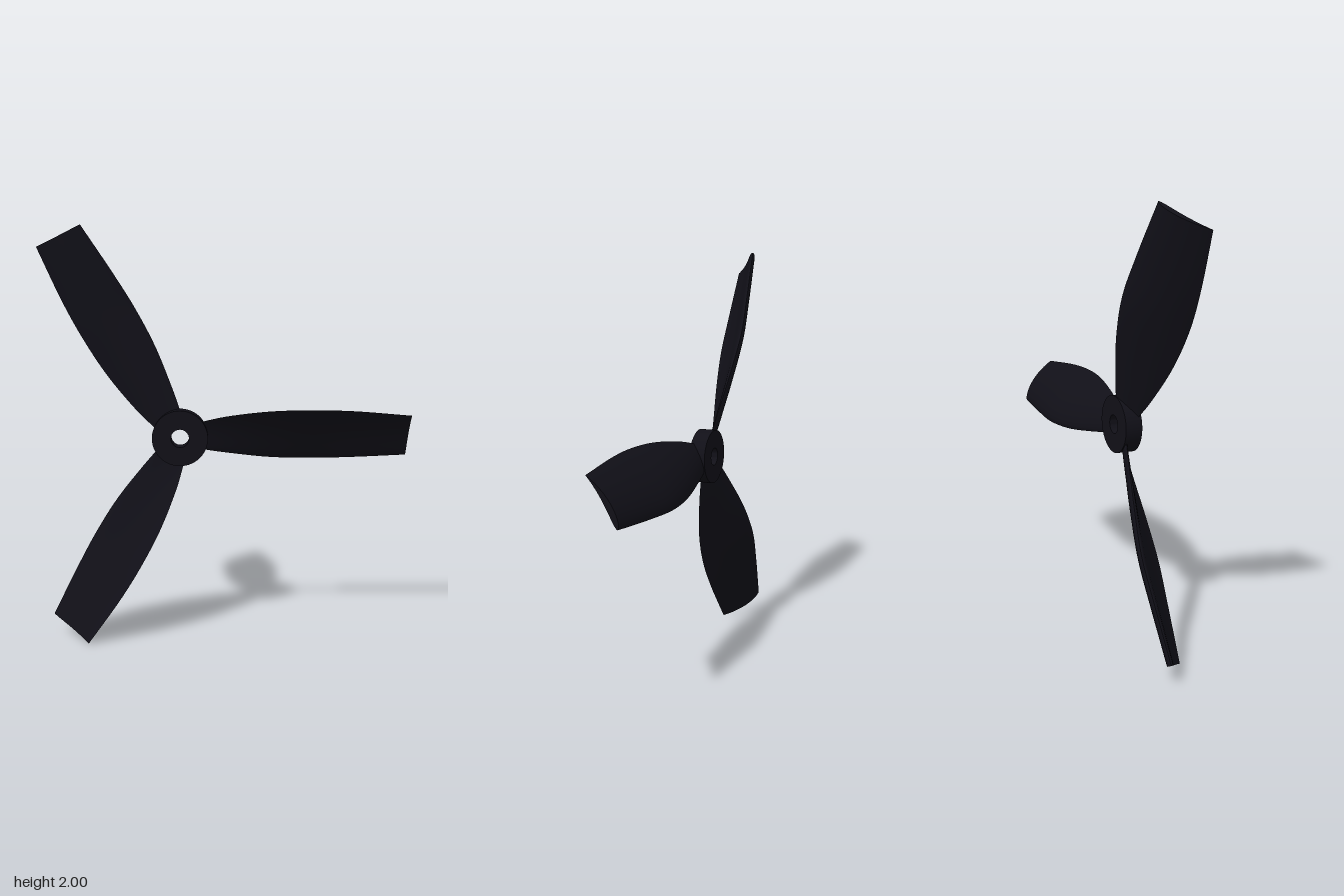
import * as THREE from 'three';
import { toCreasedNormals } from 'three/addons/utils/BufferGeometryUtils.js';

const HUB_X = -0.23;

// Blade edges as (distance from hub axis, y, z)
const spline = (pts) => new THREE.CatmullRomCurve3(pts.map((p) => new THREE.Vector3(...p)), false, 'catmullrom');
const trailingEdge = spline([
  [0.09, 0.075, 0.024], [0.23, 0.108, 0.05], [0.43, 0.135, 0.083],
  [0.63, 0.142, 0.1], [0.83, 0.136, 0.095], [1.095, 0.112, 0.078],
]);
const leadingEdge = spline([
  [0.09, -0.06, -0.024], [0.23, -0.085, -0.05], [0.43, -0.112, -0.083],
  [0.63, -0.12, -0.1], [0.83, -0.115, -0.088], [1.095, -0.1, -0.065],
]);

// Cambered airfoil offset at s (0 = leading edge, 1 = trailing edge)
function airfoil(s, side) {
  const thickness = 0.6 * (0.2969 * Math.sqrt(s) - 0.126 * s - 0.3516 * s ** 2 + 0.2843 * s ** 3 - 0.1036 * s ** 4);
  return 0.28 * s * (1 - s) + side * thickness;
}

// Twisted blade lofted through airfoil sections along +x
function bladeGeometry(sections = 40, half = 14) {
  const ring = half * 2, pos = [], index = [];
  for (let j = 0; j <= sections; j++) {
    const te = trailingEdge.getPoint(j / sections);
    const le = leadingEdge.getPoint(j / sections);
    const chord = te.clone().sub(le);
    for (let i = 0; i < ring; i++) {
      const s = (1 + Math.cos((Math.PI * i) / half)) / 2;
      const o = airfoil(s, i <= half ? 1 : -1);
      pos.push(le.x, le.y + chord.y * s + chord.z * o, le.z + chord.z * s - chord.y * o);
    }
  }
  for (let j = 0; j < sections; j++) {
    for (let i = 0; i < ring; i++) {
      const a = j * ring + i, b = j * ring + ((i + 1) % ring);
      index.push(a, a + ring, b + ring, a, b + ring, b);
    }
  }
  // Flat ends, bridged between the two surfaces
  const tip = sections * ring;
  for (let i = 0; i < half; i++) {
    const u0 = i, u1 = i + 1, l0 = (ring - i) % ring, l1 = ring - i - 1;
    index.push(tip + u0, tip + l0, tip + l1, tip + u0, tip + l1, tip + u1);
    index.push(u0, l1, l0, u0, u1, l1);
  }
  const geo = new THREE.BufferGeometry();
  geo.setAttribute('position', new THREE.Float32BufferAttribute(pos, 3));
  geo.setIndex(index);
  return toCreasedNormals(geo, 0.8);
}

// Flat ring with a plain bore
function hubGeometry() {
  const profile = [[0.043, -0.04], [0.133, -0.04], [0.133, 0.04], [0.043, 0.04], [0.043, -0.04]];
  const geo = new THREE.LatheGeometry(profile.map((p) => new THREE.Vector2(...p)), 64);
  geo.rotateX(Math.PI / 2);
  return toCreasedNormals(geo, 0.6);
}

export function createModel() {
  const model = new THREE.Group();
  model.name = 'propeller';
  const material = new THREE.MeshStandardMaterial({ color: 0x111018 });

  const rotor = new THREE.Group();
  rotor.name = 'rotor';
  rotor.position.set(HUB_X, 1, 0);
  model.add(rotor);

  const hub = new THREE.Mesh(hubGeometry(), material);
  hub.name = 'hub';
  rotor.add(hub);

  // Three blades, evenly spaced
  const blade = bladeGeometry();
  for (let k = 0; k < 3; k++) {
    const mesh = new THREE.Mesh(blade, material);
    mesh.name = `blade${k + 1}`;
    mesh.rotation.z = (k * Math.PI * 2) / 3;
    rotor.add(mesh);
  }
  return model;
}
